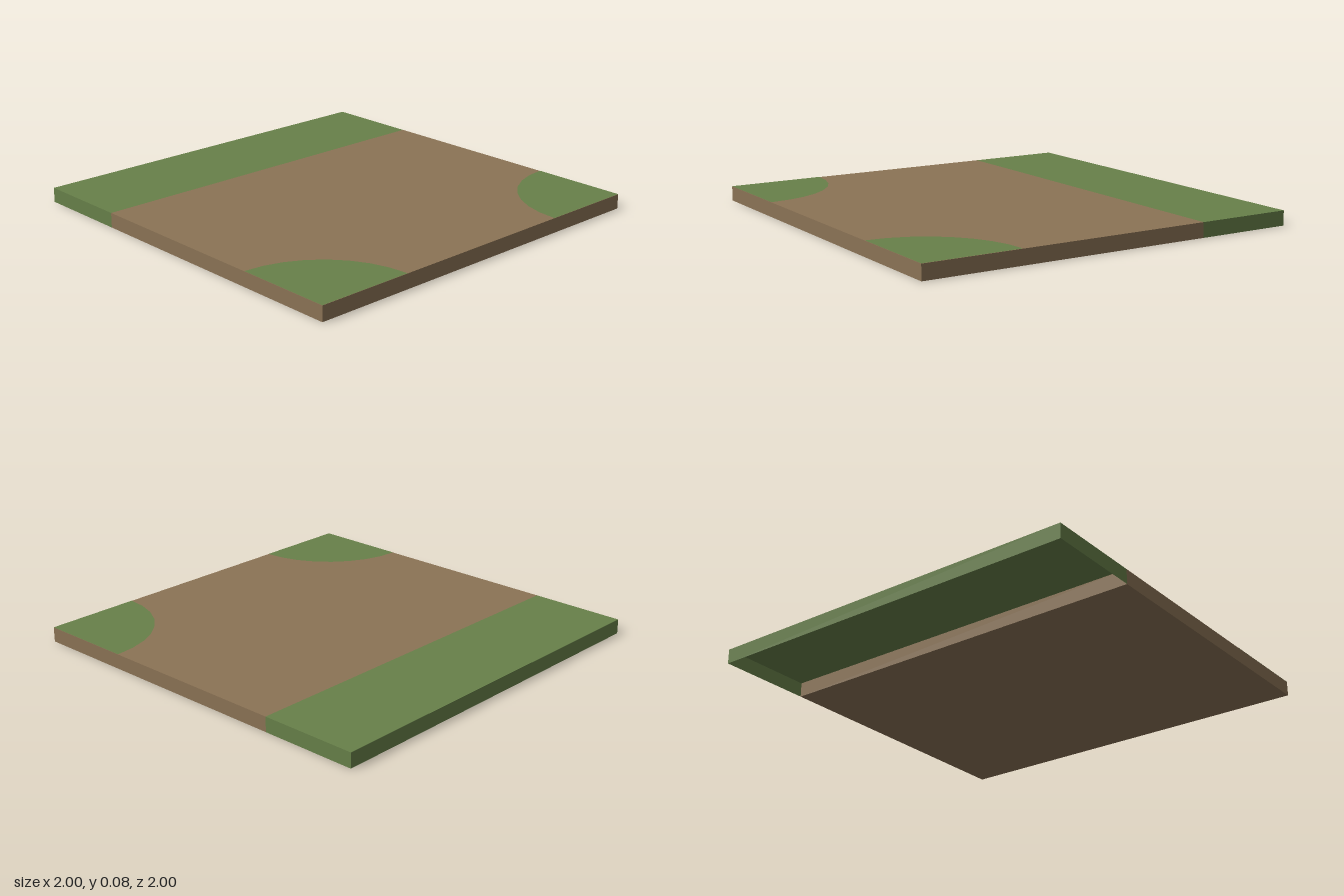
import * as THREE from 'three';

const H = 0.075; // slab thickness

export function createModel() {
  const dirt = new THREE.MeshStandardMaterial({ color: 0x8b7355 });
  dirt.name = 'dirt';
  const grass = new THREE.MeshStandardMaterial({ color: 0x678049, side: THREE.DoubleSide });
  grass.name = 'grass';

  const group = new THREE.Group();
  group.name = 'groundTile';
  const add = (name, geometry, material, x, y, z) => {
    const mesh = new THREE.Mesh(geometry, material);
    mesh.name = name;
    mesh.position.set(x, y, z);
    group.add(mesh);
  };

  // Dirt path slab
  add('dirtPath', new THREE.BoxGeometry(1.5, H, 2), dirt, 0.25, H / 2, 0);

  // Grass verge: a shell open underneath and where it meets the dirt
  // (box sides run +x, -x, +y, -y, +z, -z with six indices each)
  const verge = new THREE.BoxGeometry(0.5, H, 2);
  const index = Array.from(verge.index.array);
  verge.setIndex([1, 2, 4, 5].flatMap((side) => index.slice(side * 6, side * 6 + 6)));
  verge.clearGroups();
  add('grassVerge', verge, grass, -0.75, H / 2, 0);

  // Quarter-round grass patches on the two left corners
  for (const [name, z, start] of [['frontGrassCorner', 1, Math.PI / 2], ['backGrassCorner', -1, Math.PI]]) {
    const patch = new THREE.CircleGeometry(0.5, 8, start, Math.PI / 2).rotateX(-Math.PI / 2);
    add(name, patch, grass, 1, H + 0.001, z);
  }

  return group;
}
